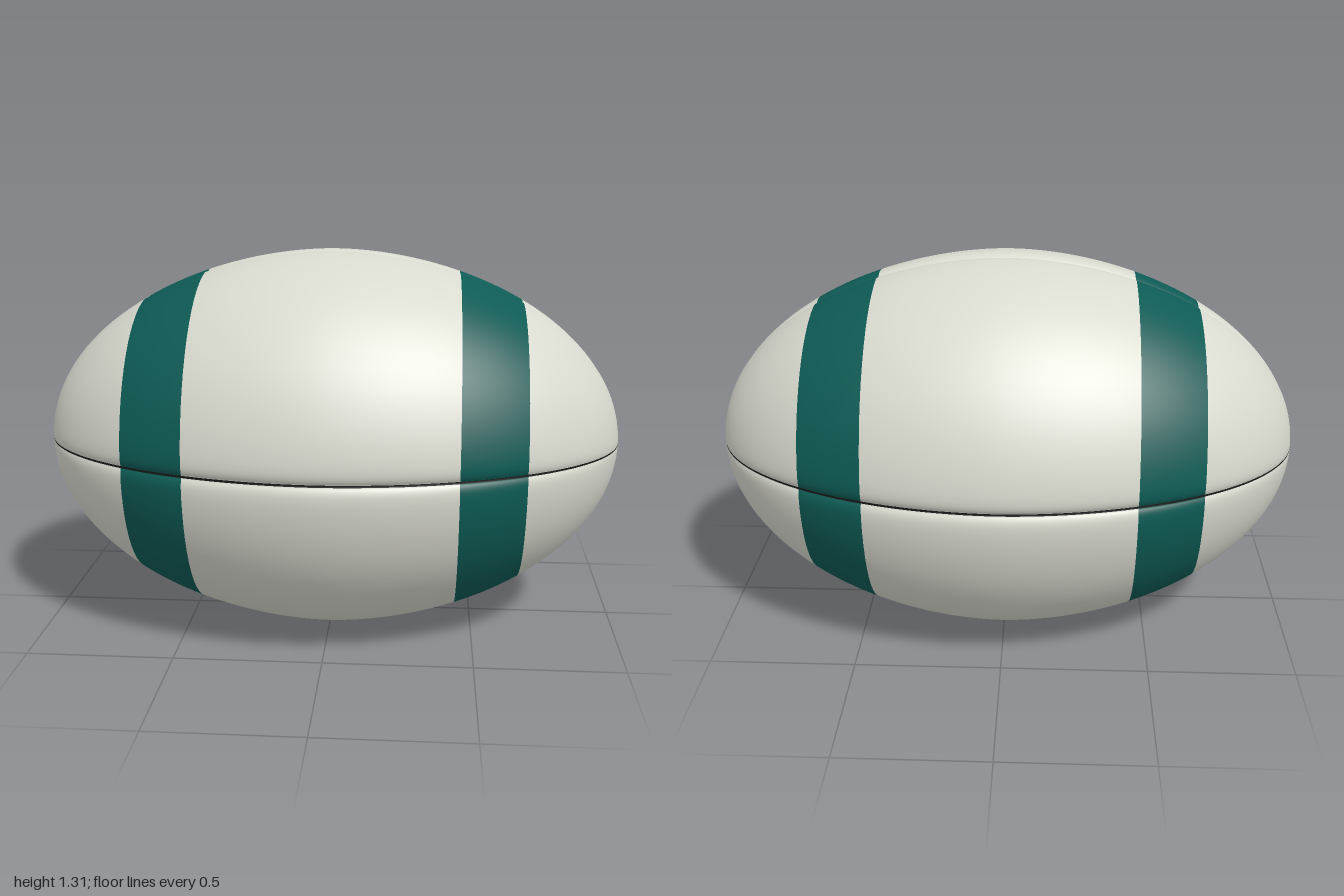
import * as THREE from 'three';

const RADIUS = 0.658;
const STRIPE_IN = 0.438, STRIPE_OUT = 0.655;

// Ball radius at a position along its long axis
const profile = x => RADIUS * Math.sqrt(Math.max(0, 1 - Math.pow(Math.abs(x), 1.87)));

// Stations along x, closer together toward the tips, with exact stripe edges
function makeStations() {
  const edges = [-1, -STRIPE_OUT, -STRIPE_IN, STRIPE_IN, STRIPE_OUT, 1];
  const steps = [24, 8, 30, 8, 24];
  const stations = [{ x: -1 }];
  steps.forEach((n, s) => {
    const a = Math.acos(-edges[s]), b = Math.acos(-edges[s + 1]);
    for (let i = 1; i <= n; i++) {
      stations.push({ x: -Math.cos(a + (b - a) * i / n), stripe: s === 1 || s === 3 });
    }
  });
  return stations;
}

// Angles around the axis: dense beside each of the four seams
const half = [0.006, 0.012, 0.02, 0.03, 0.042, 0.056, 0.075, 0.1, 0.14, 0.2, 0.28, 0.38, 0.48, 0.58, 0.68];
const offsets = [...half.slice().reverse().map(u => -u), ...half, Math.PI / 4];

export function createModel() {
  const white = new THREE.MeshStandardMaterial({ color: 0xd9dacf });
  white.name = 'off-white';
  const green = new THREE.MeshStandardMaterial({ color: 0x0e5b55 });
  green.name = 'deep teal';
  const black = new THREE.MeshStandardMaterial({ color: 0x161816 });
  black.name = 'seam black';

  const stations = makeStations();
  const columns = [];
  for (let q = 0; q < 4; q++) offsets.forEach(u => columns.push({ q, u }));
  const n = columns.length;

  // Surface points; each panel rolls inward beside its seams
  const points = [];
  for (const { x } of stations) {
    const r = profile(x);
    const widen = Math.min(4, Math.pow(RADIUS / Math.max(r, 0.01), 0.7)) - 1;
    for (const { q, u } of columns) {
      const d = Math.abs(u);
      const angle = q * Math.PI / 2 + u + (d < 0.7 ? widen * u * Math.exp(-d / 0.1) : 0);
      const rr = r * (1 - 0.032 * Math.exp(-d / 0.026));
      points.push(x, RADIUS + rr * Math.cos(angle), rr * Math.sin(angle));
    }
  }

  // Sort the faces into panels, stripes and seams
  const faces = { panels: [], stripes: [], seams: [] };
  for (let i = 1; i < stations.length; i++) {
    for (let j = 0; j < n; j++) {
      const k = (j + 1) % n;
      const a = (i - 1) * n + j, b = (i - 1) * n + k, c = i * n + j, d = i * n + k;
      const seam = columns[j].u === -half[0];
      const list = seam ? faces.seams : stations[i].stripe ? faces.stripes : faces.panels;
      if (i > 1) list.push(a, b, c);
      if (i < stations.length - 1 || i === 1) list.push(b, d, c);
    }
  }

  // Smooth normals are computed once and shared by all three parts
  const skin = new THREE.BufferGeometry();
  skin.setAttribute('position', new THREE.Float32BufferAttribute(points, 3));
  skin.setIndex([...faces.panels, ...faces.stripes, ...faces.seams]);
  skin.computeVertexNormals();
  const normals = skin.getAttribute('normal');
  for (let j = 0; j < n; j++) {
    normals.setXYZ(j, -1, 0, 0);
    normals.setXYZ((stations.length - 1) * n + j, 1, 0, 0);
  }

  const group = new THREE.Group();
  group.name = 'ovalBall';
  const addPart = (name, index, material) => {
    const geometry = new THREE.BufferGeometry();
    geometry.setAttribute('position', skin.getAttribute('position'));
    geometry.setAttribute('normal', normals);
    geometry.setIndex(index);
    const mesh = new THREE.Mesh(geometry, material);
    mesh.name = name;
    group.add(mesh);
  };
  addPart('panels', faces.panels, white);
  addPart('stripes', faces.stripes, green);
  addPart('seams', faces.seams, black);
  return group;
}
